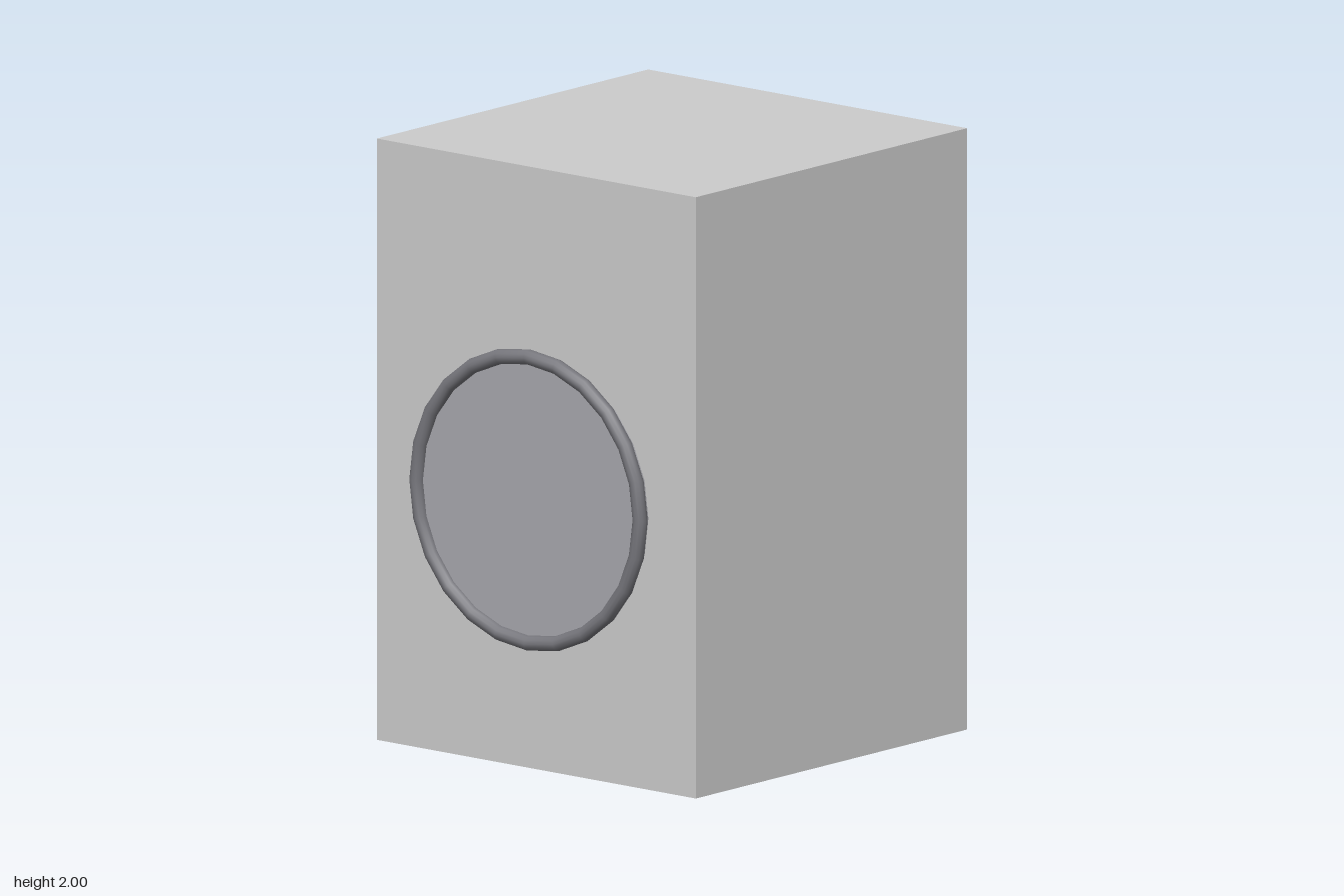
import * as THREE from 'three';

export function createModel() {
  const model = new THREE.Group();
  const add = (name, geometry, color, y, z) => {
    const mesh = new THREE.Mesh(geometry, new THREE.MeshStandardMaterial({ color }));
    mesh.name = name;
    mesh.position.set(0, y, z);
    model.add(mesh);
  };

  const back = -0.712, front = 0.648, centreY = 0.902;

  // Plain rectangular body
  add('cabinet', new THREE.BoxGeometry(1.36, 2, front - back), 0xcccccc, 1, (front + back) / 2);

  // Flat round door, standing slightly proud of the front
  const doorDepth = 0.038;
  const door = new THREE.CylinderGeometry(0.478, 0.478, doorDepth, 24).rotateX(Math.PI / 2);
  add('roundDoor', door, 0xa7a7ad, centreY, front + doorDepth / 2);

  // Rounded rim around the door
  add('doorRim', new THREE.TorusGeometry(0.476, 0.025, 12, 24), 0x77777d, centreY, 0.687);

  return model;
}
